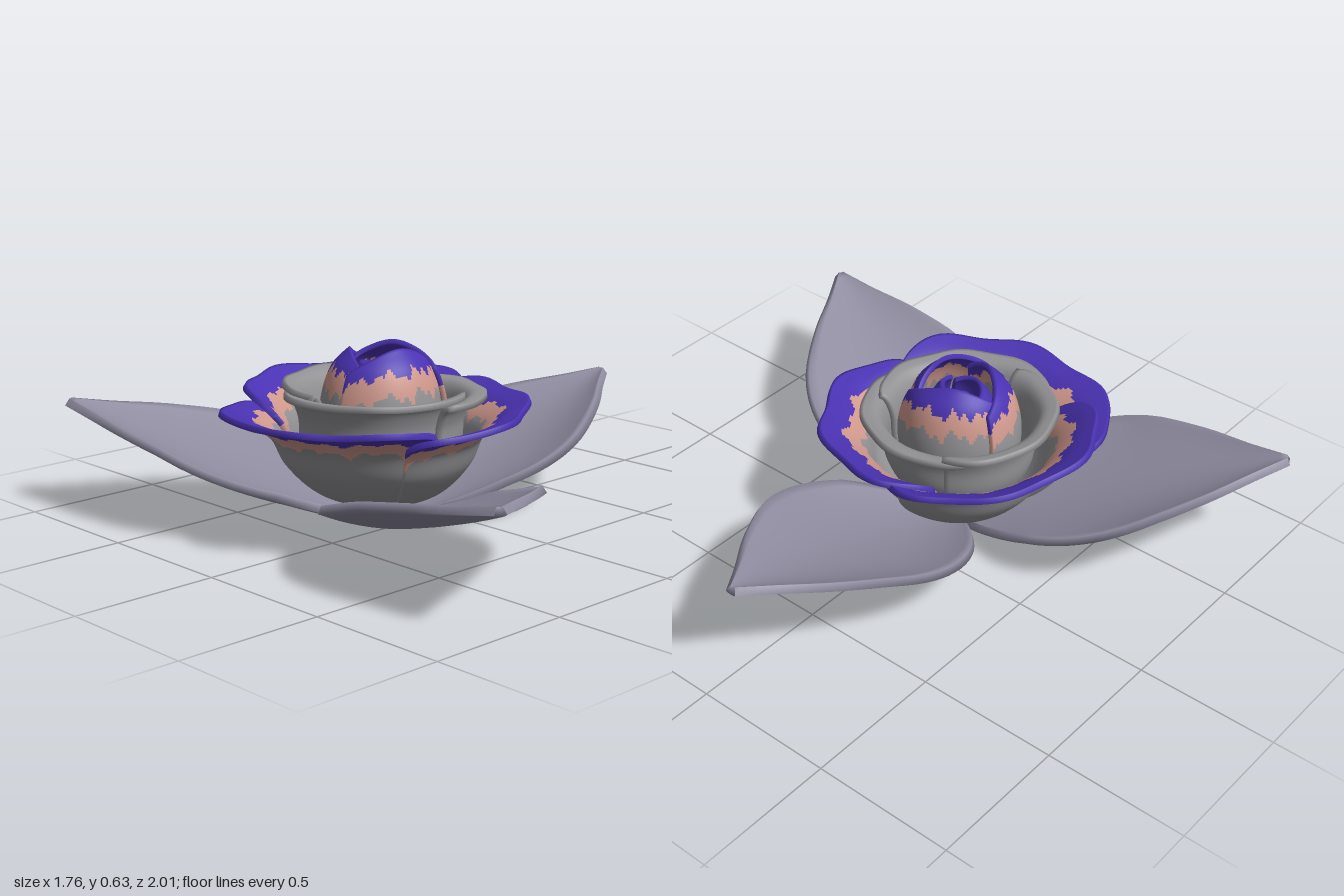
import * as THREE from 'three';

const mat = (name, color) => {
  const m = new THREE.MeshStandardMaterial({ color });
  m.name = name;
  return m;
};

// Closed thin shell over surface(u, v), u in -1..1, v in 0..1.
// pick(u, v, i, j) gives the material number of each cell.
function shell(surface, nu, nv, thickness, materials, pick = () => 0) {
  const pos = [], lists = materials.map(() => []);
  const size = (nu + 1) * (nv + 1);
  const clampU = (u) => Math.min(1, Math.max(-1, u));
  const clampV = (v) => Math.min(1, Math.max(0, v));
  const bottom = [];
  for (let j = 0; j <= nv; j++) {
    for (let i = 0; i <= nu; i++) {
      const u = (i / nu) * 2 - 1, v = j / nv, e = 0.004;
      const p = surface(u, v);
      const du = surface(clampU(u + e), v).sub(surface(clampU(u - e), v));
      const dv = surface(u, clampV(v + e)).sub(surface(u, clampV(v - e)));
      const n = du.cross(dv).normalize().multiplyScalar(thickness / 2);
      pos.push(p.x + n.x, p.y + n.y, p.z + n.z);
      bottom.push(p.x - n.x, p.y - n.y, p.z - n.z);
    }
  }
  pos.push(...bottom);
  const id = (i, j) => j * (nu + 1) + i;
  for (let j = 0; j < nv; j++) {
    for (let i = 0; i < nu; i++) {
      const list = lists[pick(((i + 0.5) / nu) * 2 - 1, (j + 0.5) / nv, i, j)];
      const a = id(i, j), b = id(i + 1, j), c = id(i + 1, j + 1), d = id(i, j + 1);
      list.push(a, b, c, a, c, d);
      list.push(a + size, c + size, b + size, a + size, d + size, c + size);
      const side = (s, t) => list.push(t, s, s + size, t, s + size, t + size);
      if (j === 0) side(a, b);
      if (i === nu - 1) side(b, c);
      if (j === nv - 1) side(c, d);
      if (i === 0) side(d, a);
    }
  }
  const geo = new THREE.BufferGeometry();
  geo.setAttribute('position', new THREE.Float32BufferAttribute(pos, 3));
  geo.setIndex(lists.flat());
  let start = 0;
  lists.forEach((l, k) => {
    if (l.length) geo.addGroup(start, l.length, k);
    start += l.length;
  });
  geo.computeVertexNormals();
  return new THREE.Mesh(geo, materials);
}

const curve = (pts) =>
  new THREE.CatmullRomCurve3(pts.map(([x, y]) => new THREE.Vector3(x, y, 0)));

// Petal: a radial profile [radius, height] swept round the flower's axis
function petal(o, materials, pick) {
  const profile = curve(o.profile);
  const reach = (u) => 1 - o.drop * Math.abs(u) ** o.power;
  const surface = (u, v) => {
    const w = v * reach(u);
    const p = profile.getPoint(w);
    const a = o.angle + u * o.span;
    const ripple = (o.wave || 0) * w ** 4 * Math.sin(a * 9 + o.angle * 2);
    const r = p.x * (1 + (o.spiral || 0) * u) * (o.scale || 1) + ripple;
    const y = p.y + w * w * ((o.lift || 0) + ripple * 0.4 + (o.lean || 0) * u);
    return new THREE.Vector3(Math.cos(a) * r, y, Math.sin(a) * r);
  };
  return shell(surface, o.nu, o.nv, o.thickness || 0.02, materials,
    pick && ((u, v, i, j) => pick(u, v * reach(u), i, j)));
}

// Ragged colour border
const ragged = (u, i) =>
  0.025 * Math.sin(u * 13) + 0.02 * Math.sin(u * 31 + 1) +
  0.025 * (Math.abs(Math.sin(Math.floor(i / 2) * 12.9898) * 43758.5453) % 1);

export function createModel() {
  const group = new THREE.Group();
  const leafGrey = mat('leafGrey', 0x8f8ca0);
  const petalGrey = mat('petalGrey', 0x929194);
  const violet = mat('violet', 0x4a32b2);
  const salmon = mat('salmon', 0xd0988c);
  const painted = [petalGrey, salmon, violet];

  // Three cupped leaves: [tip x, tip z] seen from the flower's centre
  const widths = curve([[0, 0.02], [0.1, 0.17], [0.25, 0.3], [0.4, 0.345],
    [0.55, 0.325], [0.75, 0.21], [0.9, 0.09], [1, 0.015]]);
  const leaves = new THREE.Group();
  leaves.name = 'leaves';
  [[1.1, 0], [-0.62, -0.97], [-0.52, 1.01]].forEach(([x, z]) => {
    const length = Math.hypot(x, z);
    const surface = (u, v) => {
      const w = widths.getPoint(v);
      const cup = 0.075 * u * u * Math.min(1, w.y / 0.3);
      return new THREE.Vector3(w.x * length, 0.015 + 0.355 * w.x ** 1.15 + cup, -w.y * u);
    };
    const leaf = shell((u, v) => surface(-u, v), 20, 32, 0.028, [leafGrey]);
    leaf.name = 'leaf';
    leaf.rotation.y = -Math.atan2(z, x);
    leaf.position.x = 0.015;
    leaves.add(leaf);
  });
  leaves.position.set(-0.24, 0, -0.02);
  group.add(leaves);

  const bloom = new THREE.Group();
  bloom.name = 'bloom';
  bloom.position.set(-0.24, 0, -0.035);
  group.add(bloom);
  const add = (name, mesh) => {
    mesh.name = name;
    bloom.add(mesh);
  };

  // Outer petals with wide painted rims
  const outer = [[0.03, 0.09], [0.2, 0.14], [0.3, 0.24], [0.345, 0.335], [0.42, 0.395], [0.5, 0.425]];
  [[0.85, 0, 0.98], [3.1, 0, 1.05], [5.0, 0.045, 1]].forEach(([angle, lift, scale]) =>
    add('outerPetal', petal({
      profile: outer, angle, lift, scale, span: 1.27, drop: 0.3, power: 6,
      spiral: 0.04, lean: -0.02, wave: 0.012, nu: 80, nv: 44,
    }, painted, (u, w, i) => {
      const t = w + ragged(u, i) + 0.14 * u ** 6;
      return t > 0.79 ? 2 : t > 0.64 ? 1 : 0;
    })));

  // Plain middle petals with rolled rims
  const middle = [[0.03, 0.12], [0.18, 0.18], [0.25, 0.3], [0.26, 0.4], [0.29, 0.465], [0.34, 0.475]];
  [0.3, 2.4, 4.5].forEach((angle, k) =>
    add('middlePetal', petal({
      profile: middle, angle, lift: [-0.015, 0.005, 0.02][k], span: 1.3, drop: 0.12, power: 6,
      spiral: 0.06, wave: 0.004, nu: 40, nv: 22,
    }, [petalGrey])));

  // Bud petals with painted points
  const bud = [[0.04, 0.14], [0.17, 0.24], [0.2, 0.36], [0.195, 0.46], [0.16, 0.56], [0.1, 0.625]];
  [1.75, 3.85, 5.9].forEach((angle, k) =>
    add('budPetal', petal({
      profile: bud, angle, lift: [0, -0.01, -0.005][k], span: 1.25, drop: 0.22, power: 2,
      spiral: 0.06, thickness: 0.016, nu: 64, nv: 40,
    }, painted, (u, w, i) => {
      const t = w + ragged(u, i) + 0.12 * u ** 4;
      return t > 0.8 ? 2 : t > 0.66 ? 1 : 0;
    })));

  // Tightly rolled heart
  const heart = [[0.1, 0.38], [0.11, 0.46], [0.09, 0.53], [0.06, 0.57]];
  [0.6, 3.6].forEach((angle) =>
    add('heartPetal', petal({
      profile: heart, angle, span: 1.5, drop: 0.2, power: 2, spiral: 0.15,
      thickness: 0.014, nu: 24, nv: 12,
    }, [violet])));
  const core = new THREE.Mesh(new THREE.SphereGeometry(0.07, 20, 14), violet);
  core.scale.y = 1.7;
  core.position.y = 0.42;
  add('heartCore', core);

  return group;
}
